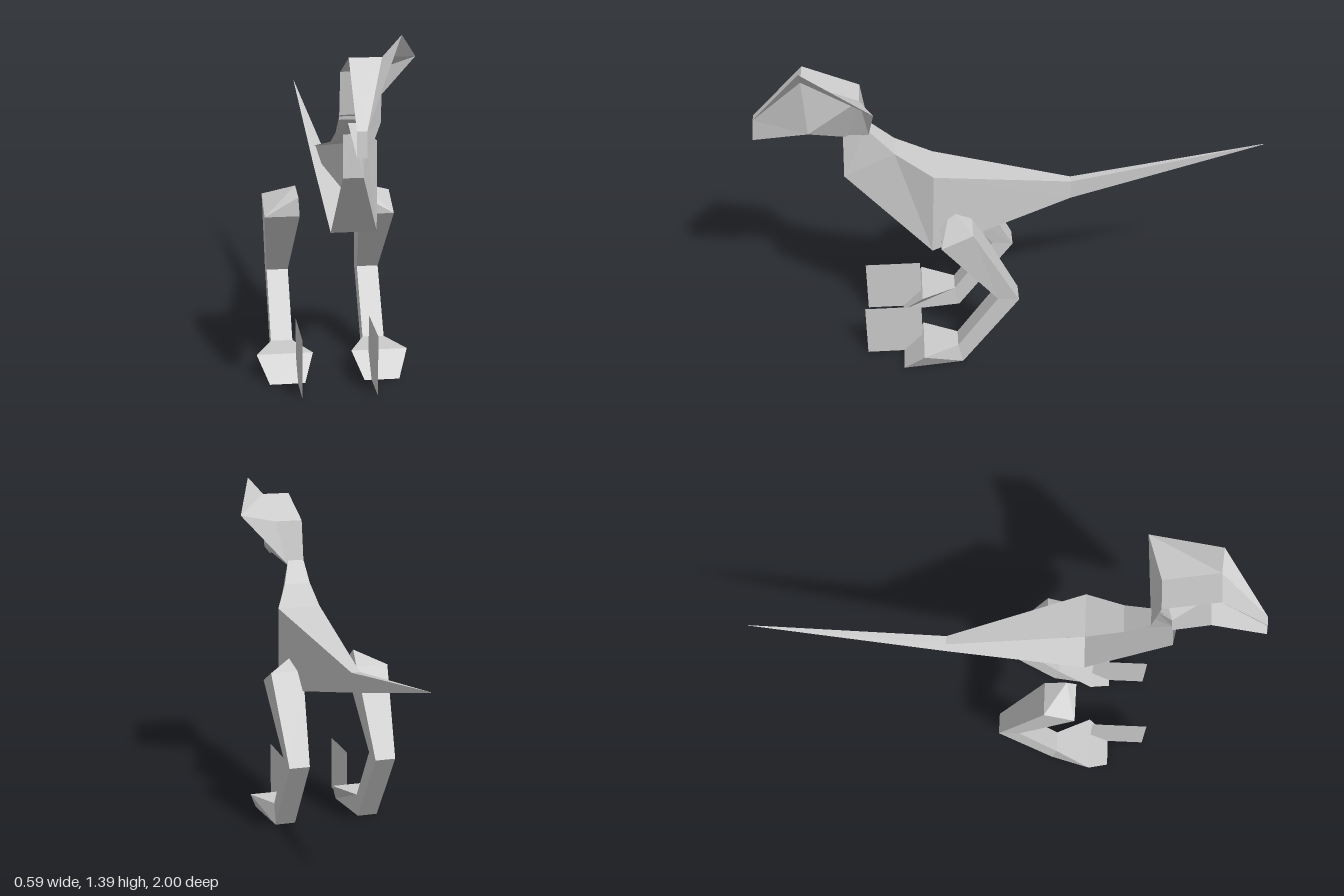
import * as THREE from 'three';

// Flat-faced mesh from a list of polygons (three or four corners each)
function facetMesh(name, polygons, material) {
  const pos = [];
  for (const p of polygons) {
    for (let i = 1; i < p.length - 1; i++) pos.push(...p[0], ...p[i], ...p[i + 1]);
  }
  const geo = new THREE.BufferGeometry();
  geo.setAttribute('position', new THREE.Float32BufferAttribute(pos, 3));
  geo.computeVertexNormals();
  const mesh = new THREE.Mesh(geo, material);
  mesh.name = name;
  return mesh;
}

// Quads joining consecutive cross-sections
function loft(sections, closed) {
  const quads = [];
  for (let s = 0; s < sections.length - 1; s++) {
    const a = sections[s], b = sections[s + 1], n = a.length;
    for (let i = 0; i < (closed ? n : n - 1); i++) {
      const j = (i + 1) % n;
      quads.push([a[i], a[j], b[j], b[i]]);
    }
  }
  return quads;
}

// Half body, open along the centre plane: neck, shoulder, hips, tail
function createBody(material) {
  const section = ([tw, ty, tz, bw, by, bz]) =>
    [[0, ty, tz], [tw, ty, tz], [bw, by, bz], [0, by, bz]];
  const sections = [
    [0.065, 1.07, 0.565, 0.04, 1.02, 0.655],
    [0.11, 0.98, 0.46, 0.075, 0.86, 0.66],
    [0.178, 0.91, 0.315, 0.178, 0.555, 0.33],
    [0.035, 0.76, -0.23, 0.035, 0.68, -0.23],
    [0.001, 0.88, -1.0, 0.001, 0.878, -1.0],
  ].map(section);
  return facetMesh('bodyAndTail', loft(sections, false), material);
}

// Half head with a flared frill
function createHead(material) {
  const mid = ([, y, z]) => [0, y, z];
  const brow = [0.115, 1.32, 0.79], nape = [0.115, 1.23, 0.58];
  const crest = [0.182, 1.395, 0.79], frillTip = [0.28, 1.27, 0.525];
  const beakTop = [0.035, 1.11, 0.99], beakLow = [0.035, 1.02, 1.0];
  const jaw = [0.115, 1.09, 0.78], throat = [0.04, 1.02, 0.64];
  const neckTop = [0.075, 1.05, 0.555];

  const group = new THREE.Group();
  group.name = 'head';
  group.add(facetMesh('skull', [
    [mid(brow), brow, nape, mid(nape)],
    [mid(beakTop), beakTop, brow, mid(brow)],
    [mid(beakLow), beakLow, beakTop, mid(beakTop)],
    [beakTop, beakLow, jaw, brow],
    [brow, jaw, nape],
    [nape, jaw, throat, neckTop],
    [beakLow, mid(beakLow), mid(jaw), jaw],
    [jaw, mid(jaw), mid(throat), throat],
    [nape, neckTop, mid(neckTop), mid(nape)],
  ], material));
  group.add(facetMesh('frill', [
    [brow, crest, frillTip, nape],
    [beakTop, crest, brow],
    [nape, frillTip, neckTop],
  ], material));
  return group;
}

// Leg on the +x side: hip, knee, ankle, toe, plus a flat claw plate
function createLeg(name, material) {
  // each row: back corner (inner x, outer x, y, z), then front corner
  const sections = [
    [0.115, 0.25, 0.675, 0.17, 0.115, 0.25, 0.615, 0.295],
    [0.14, 0.225, 0.32, -0.01, 0.14, 0.225, 0.33, 0.075],
    [0.14, 0.225, 0, 0.222, 0.14, 0.225, 0.09, 0.24],
    [0.115, 0.25, 0, 0.465, 0.075, 0.293, 0.09, 0.38],
  ].map(([bi, bo, by, bz, fi, fo, fy, fz]) =>
    [[bo, by, bz], [fo, fy, fz], [fi, fy, fz], [bi, by, bz]]);
  const [outBack, outFront, inFront, inBack] = sections[0];
  const peak = [0.128, 0.727, 0.255], ridge = [0.12, 0.69, 0.295];

  const leg = new THREE.Group();
  leg.name = name;
  leg.add(facetMesh('thigh', [
    ...loft(sections.slice(0, 2), true),
    [outFront, outBack, peak],
    [outFront, peak, ridge],
    [inFront, outFront, ridge],
    [outBack, inBack, peak],
    [inBack, inFront, ridge, peak],
  ], material));
  leg.add(facetMesh('shin', loft(sections.slice(1, 3), true), material));
  leg.add(facetMesh('foot', [...loft(sections.slice(2), true), sections[3]], material));

  const claw = new THREE.Mesh(new THREE.PlaneGeometry(0.23, 0.235), material);
  claw.name = 'clawPlate';
  claw.rotation.y = Math.PI / 2;
  claw.position.set(0.142, 0.1175, 0.5);
  leg.add(claw);
  return leg;
}

export function createModel() {
  const grey = new THREE.MeshStandardMaterial({ color: 0xcccccc, flatShading: true, side: THREE.DoubleSide });
  grey.name = 'light grey';

  const model = new THREE.Group();
  model.name = 'dinosaur';
  model.add(createBody(grey), createHead(grey));

  const leftLeg = createLeg('leftLeg', grey);
  const rightLeg = createLeg('rightLeg', grey);
  rightLeg.scale.x = -1;
  model.add(leftLeg, rightLeg);
  return model;
}
